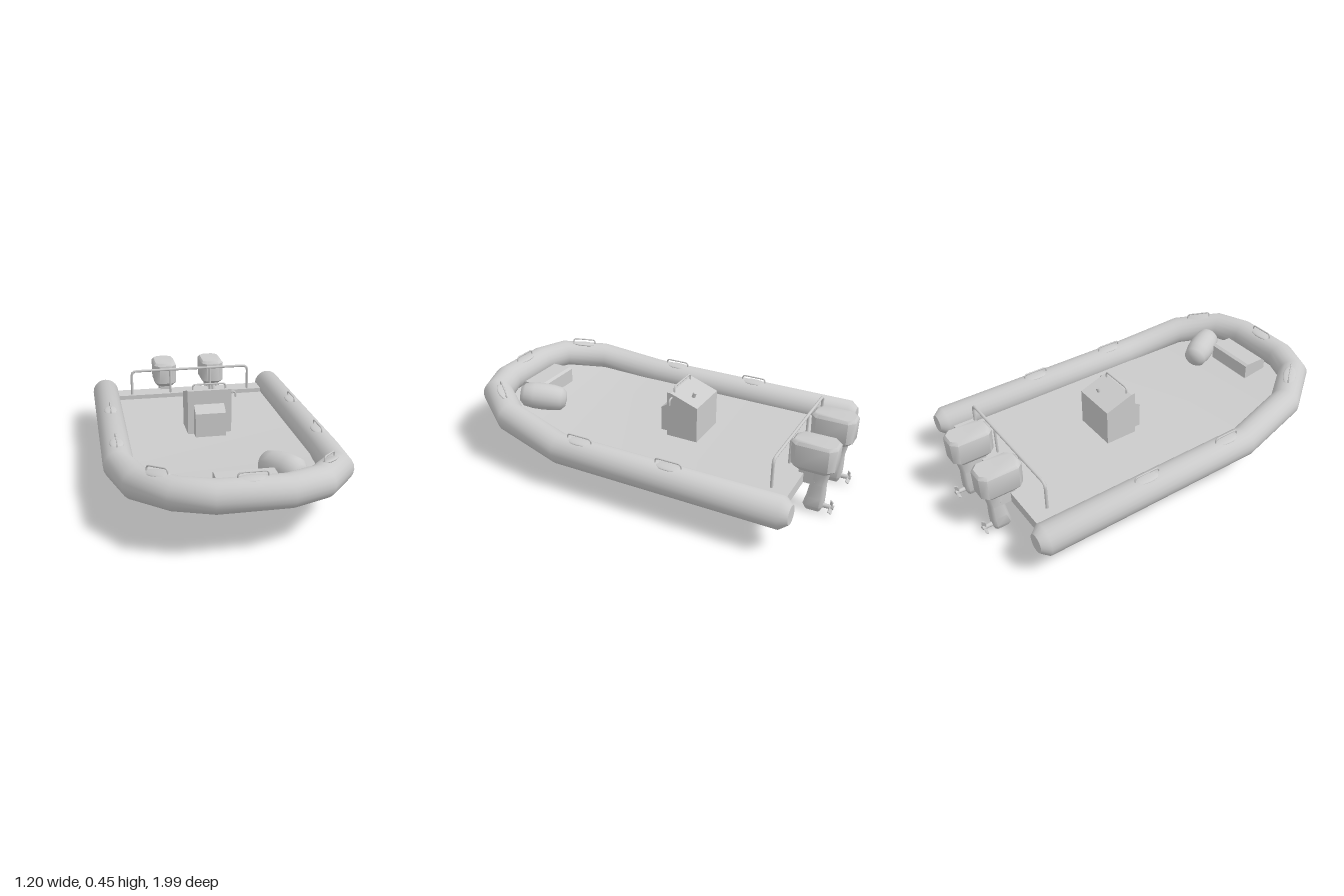
import * as THREE from 'three';
import { toCreasedNormals, mergeVertices } from 'three/addons/utils/BufferGeometryUtils.js';

const mat = new THREE.MeshStandardMaterial({ color: 0xcccccc });
const V = (x, y, z) => new THREE.Vector3(x, y, z);

function add(parent, name, geo, x = 0, y = 0, z = 0) {
  const m = new THREE.Mesh(geo, mat);
  m.name = name;
  m.position.set(x, y, z);
  parent.add(m);
  return m;
}

// Skin over closed rings of equal size, capped at both ends
function loft(rings, crease = 0.5) {
  const n = rings[0].length, pos = [], idx = [];
  rings.forEach(r => r.forEach(p => pos.push(p.x, p.y, p.z)));
  for (let i = 0; i < rings.length - 1; i++) for (let j = 0; j < n; j++) {
    const k = (j + 1) % n, a = i * n + j, b = i * n + k;
    idx.push(a, b, b + n, a, b + n, a + n);
  }
  const last = (rings.length - 1) * n;
  for (let j = 1; j < n - 1; j++) {
    idx.push(0, j + 1, j);
    idx.push(last, last + j, last + j + 1);
  }
  const g = new THREE.BufferGeometry();
  g.setAttribute('position', new THREE.Float32BufferAttribute(pos, 3));
  g.setIndex(idx);
  return toCreasedNormals(g, crease);
}

// Round tube swept along a path with mitred joints; points are [x, y, z, radius]
function miteredTube(path, sides) {
  const pts = path.map(p => V(p[0], p[1], p[2]));
  const dir = (a, b) => b.clone().sub(a).setY(0).normalize();
  return loft(pts.map((p, i) => {
    const d0 = dir(pts[Math.max(i - 1, 0)], pts[Math.max(i, 1)]);
    const d1 = i < pts.length - 1 ? dir(p, pts[i + 1]) : d0;
    const t = d0.clone().add(d1).normalize();
    const u = V(0, 1, 0).cross(t), r = path[i][3], stretch = 1 / t.dot(d0);
    return Array.from({ length: sides }, (_, j) => {
      const a = j / sides * Math.PI * 2;
      return p.clone().addScaledVector(u, Math.cos(a) * r * stretch).add(V(0, Math.sin(a) * r, 0));
    });
  }), 0.72);
}

// Thin bar bent up from a, across and down to b with rounded corners
function hoop(a, b, height, r = 0.004, round = 0.018) {
  const up = V(0, height, 0), p = a.clone().add(up), q = b.clone().add(up);
  const d = q.clone().sub(p).normalize().multiplyScalar(round), v = V(0, round, 0);
  const c = new THREE.CurvePath();
  const p0 = p.clone().sub(v), p1 = p.clone().add(d), q0 = q.clone().sub(d), q1 = q.clone().sub(v);
  c.add(new THREE.LineCurve3(a, p0));
  c.add(new THREE.QuadraticBezierCurve3(p0, p, p1));
  c.add(new THREE.LineCurve3(p1, q0));
  c.add(new THREE.QuadraticBezierCurve3(q0, q, q1));
  c.add(new THREE.LineCurve3(q1, b));
  return new THREE.TubeGeometry(c, 60, r, 8);
}

// Handle on a flat oval patch
function grabHandle(parent, a, b) {
  const g = new THREE.Group();
  g.name = 'grabHandle';
  parent.add(g);
  add(g, 'handleBar', hoop(a, b, 0.033));
  const mid = a.clone().lerp(b, 0.5);
  const patch = add(g, 'handlePatch', new THREE.SphereGeometry(1, 24, 12).scale(0.078, 0.01, 0.035), mid.x, mid.y + 0.003, mid.z);
  patch.quaternion.setFromUnitVectors(V(1, 0, 0), b.clone().sub(a).normalize());
}

// Horizontal chamfered rectangle
function octagon(y, w, z0, z1, c) {
  return [[w - c, z1], [w, z1 - c], [w, z0 + c], [w - c, z0],
    [c - w, z0], [-w, z0 + c], [-w, z1 - c], [c - w, z1]].map(([x, z]) => V(x, y, z));
}

// Side profile of [z, y] points extruded across x
function sideExtrude(profile, width) {
  const s = new THREE.Shape(profile.map(([z, y]) => new THREE.Vector2(-z, y)));
  return new THREE.ExtrudeGeometry(s, { depth: width, bevelEnabled: false })
    .translate(0, 0, -width / 2).rotateY(Math.PI / 2);
}

function outboard(x) {
  const g = new THREE.Group();
  g.name = 'outboardMotor';
  g.position.x = x;
  add(g, 'cowl', loft([
    octagon(0.222, 0.045, -0.96, -0.805, 0.02), octagon(0.248, 0.066, -0.987, -0.773, 0.028),
    octagon(0.36, 0.068, -0.99, -0.77, 0.03), octagon(0.374, 0.057, -0.98, -0.782, 0.028)], 0.8));
  add(g, 'leg', loft([
    octagon(0, 0.018, -0.93, -0.858, 0.008), octagon(0.028, 0.032, -0.942, -0.845, 0.014),
    octagon(0.08, 0.033, -0.945, -0.86, 0.014), octagon(0.15, 0.028, -0.945, -0.872, 0.012),
    octagon(0.225, 0.034, -0.96, -0.88, 0.014)], 0.8));
  add(g, 'mountingBracket', new THREE.BoxGeometry(0.06, 0.07, 0.08), 0, 0.185, -0.855);
  add(g, 'propellerHub', new THREE.CylinderGeometry(0.01, 0.012, 0.055, 10).rotateX(-Math.PI / 2), 0, 0.033, -0.965);
  for (let i = 0; i < 3; i++) {
    const blade = new THREE.BoxGeometry(0.022, 0.028, 0.005).rotateY(0.7).translate(0, 0.02, 0);
    add(g, 'propellerBlade', blade.rotateZ(i * Math.PI * 2 / 3), 0, 0.033, -0.982);
  }
  return g;
}

export function createModel() {
  const boat = new THREE.Group();
  boat.name = 'inflatableBoat';

  // Buoyancy tube, one half mirrored around the bow
  const half = [[0.523, 0.193, -0.9, 0.046], [0.523, 0.193, -0.86, 0.077], [0.523, 0.193, 0.31, 0.077],
    [0.463, 0.254, 0.658, 0.077], [0.318, 0.289, 0.858, 0.076], [0.157, 0.291, 0.921, 0.076]];
  const path = half.concat(half.slice().reverse().map(([x, ...rest]) => [-x, ...rest]));
  add(boat, 'buoyancyTube', miteredTube(path, 20));

  // Hull with deck: z, bottom half width, bottom y, chine half width, chine y, deck y
  const hull = [[-0.78, 0.24, 0.105, 0.47, 0.15, 0.175], [-0.5, 0.24, 0.085, 0.47, 0.15, 0.175],
    [0.32, 0.24, 0.085, 0.47, 0.153, 0.177], [0.64, 0.27, 0.142, 0.44, 0.195, 0.208],
    [0.78, 0.25, 0.182, 0.35, 0.22, 0.228], [0.9, 0.15, 0.217, 0.2, 0.232, 0.242]];
  add(boat, 'hull', loft(hull.map(([z, hb, yb, hc, yc, yd]) => [
    V(-hb, yb, z), V(hb, yb, z), V(hc, yc, z), V(hc, yd, z), V(-hc, yd, z), V(-hc, yc, z)]), 0.3));
  add(boat, 'transom', new THREE.BoxGeometry(0.92, 0.055, 0.115), 0, 0.1725, -0.7825);

  // Stern rail
  add(boat, 'sternRail', hoop(V(-0.365, 0.18, -0.75), V(0.365, 0.18, -0.75), 0.167, 0.008, 0.03));
  for (const x of [-0.125, 0.125])
    add(boat, 'railPost', new THREE.CylinderGeometry(0.007, 0.007, 0.165, 8), x, 0.264, -0.75);

  // Twin engines
  boat.add(outboard(0.15), outboard(-0.15));

  // Grab handles on the tube
  for (const s of [-1, 1]) {
    for (const z of [-0.3, 0.19])
      grabHandle(boat, V(s * 0.523, 0.259, z - 0.068), V(s * 0.523, 0.259, z + 0.068));
    grabHandle(boat, V(s * 0.425, 0.33, 0.71), V(s * 0.345, 0.35, 0.81));
  }
  grabHandle(boat, V(-0.066, 0.356, 0.916), V(0.066, 0.356, 0.916));

  // Steering console with front seat
  const console_ = new THREE.Group();
  console_.name = 'console';
  boat.add(console_);
  add(console_, 'consoleBody', sideExtrude([[-0.08, 0.165], [-0.08, 0.42], [-0.1, 0.42], [-0.25, 0.367], [-0.25, 0.165]], 0.24));
  add(console_, 'consoleSeat', sideExtrude([[-0.024, 0.165], [-0.024, 0.307], [-0.08, 0.343], [-0.08, 0.165]], 0.165), -0.004);
  add(console_, 'consoleRail', hoop(V(-0.088, 0.406, -0.108), V(0.092, 0.406, -0.108), 0.041, 0.005));
  add(console_, 'throttleLever', hoop(V(0.1, 0.366, -0.108), V(0.148, 0.366, -0.108), 0.031, 0.005));
  const knob = add(console_, 'steeringKnob', new THREE.CylinderGeometry(0.01, 0.01, 0.03, 12), 0.042, 0.398, -0.195);
  knob.rotation.x = -0.35;

  // Bow locker with bevelled lid
  const locker = [[0.825, 0.21], [0.825, 0.282], [0.805, 0.3], [0.7, 0.3], [0.683, 0.292], [0.683, 0.195]];
  add(boat, 'bowLocker', sideExtrude(locker, 0.28), 0.01);

  // Rolled bag lying on the foredeck
  const roll = [[0, -0.128], [0.04, -0.122], [0.062, -0.1], [0.071, -0.05], [0.073, 0],
    [0.071, 0.05], [0.062, 0.1], [0.04, 0.122], [0, 0.128]];
  const lathe = new THREE.LatheGeometry(roll.map(p => new THREE.Vector2(...p)), 20);
  lathe.deleteAttribute('normal');
  lathe.deleteAttribute('uv');
  const bag = add(boat, 'rolledBag', toCreasedNormals(mergeVertices(lathe), 0.9), 0.205, 0.268, 0.64);
  bag.quaternion.setFromUnitVectors(V(0, 1, 0), V(0.12, 0.035, 0.23).normalize());
  return boat;
}
